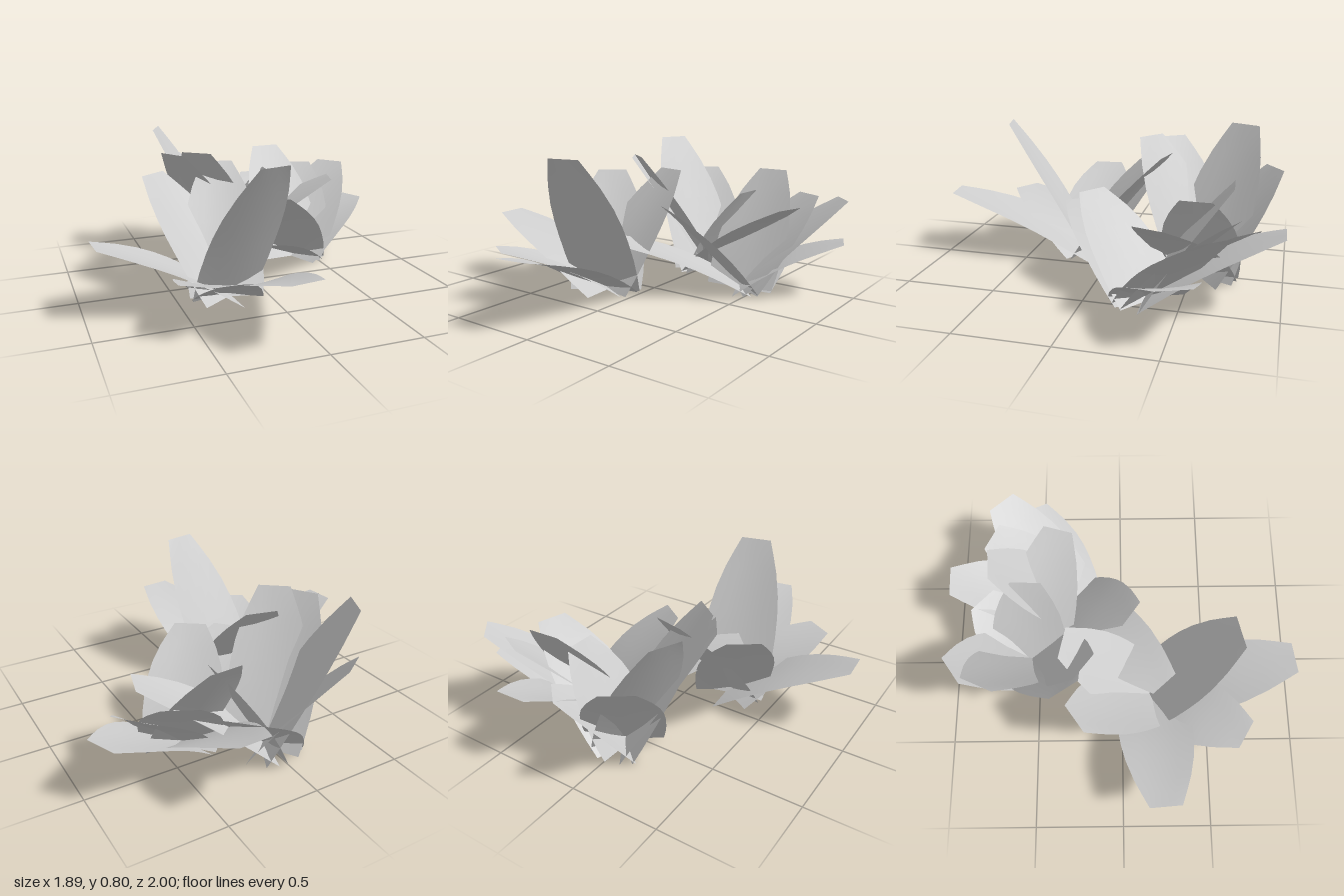
import * as THREE from 'three';

// Leaf outline: [distance along the leaf, full width]
const PROFILE = [[0, 0.405], [0.12, 0.425], [0.25, 0.435], [0.4, 0.43], [0.52, 0.415],
  [0.65, 0.38], [0.8, 0.31], [0.9, 0.245], [1, 0.175]];
const ACROSS = [-1, -0.5, 0, 0.5, 1];

// Plants: centre on the ground [x, z] and the middle of each leaf tip [x, y, z]
const PLANTS = [
  { name: 'frontPlant', centre: [-0.22, 0.17], tips: [
    [-0.115, 0.8, 0.61], [-0.11, 0.36, 0.985], [-0.935, 0.385, 0.225],
    [-0.535, 0.29, 0.69], [-0.515, 0.62, -0.25], [-0.11, 0.65, -0.32]] },
  { name: 'backPlant', centre: [0.01, -0.555], tips: [
    [-0.38, 0.8, -0.73], [-0.24, 0.59, -0.915], [-0.27, 0.73, -0.2], [-0.385, 0.71, -0.3],
    [0.66, 0.48, -0.37], [0.3, 0.52, -0.545], [0.265, 0.36, -0.815]] },
  { name: 'sidePlant', centre: [0.385, -0.32], tips: [
    [0.115, 0.49, 0.055], [-0.245, 0.32, 0.24], [0.36, 0.64, -0.74], [0.365, 0.41, -1],
    [0.83, 0.51, -0.705], [0.91, 0.3, -0.54], [0.6, 0.51, -0.75]] },
];

// Sweeps the outline from base to tip, slightly arched and cupped
function leafGeometry(base, tip) {
  const dir = tip.clone().sub(base);
  const side = new THREE.Vector3(-dir.z, 0, dir.x).normalize();
  const normal = side.clone().cross(dir).normalize();
  if (normal.y < 0) normal.negate();
  const arch = 0.06 * (1 - dir.y / dir.length());
  const pos = [], index = [], n = ACROSS.length;
  PROFILE.forEach(([t, width], i) => {
    const bend = Math.sin(Math.PI * t);
    ACROSS.forEach((u, j) => {
      const p = base.clone().addScaledVector(dir, t)
        .addScaledVector(side, u * width / 2)
        .addScaledVector(normal, bend * (arch + 0.018 * (u * u - 0.5)));
      pos.push(p.x, p.y, p.z);
      if (i && j) {
        const d = i * n + j, c = d - 1, b = d - n, a = b - 1;
        index.push(a, b, d, a, d, c);
      }
    });
  });
  const g = new THREE.BufferGeometry();
  g.setAttribute('position', new THREE.Float32BufferAttribute(pos, 3));
  g.setIndex(index);
  g.computeVertexNormals();
  return g;
}

export function createModel() {
  const model = new THREE.Group();
  const leafGrey = new THREE.MeshStandardMaterial({ color: 0xcccccc, side: THREE.DoubleSide });
  leafGrey.name = 'leafGrey';

  for (const { name, centre: [cx, cz], tips } of PLANTS) {
    const plant = new THREE.Group();
    plant.name = name;
    // Broad-based leaves, each rooted just behind the centre
    tips.forEach(([x, y, z]) => {
      const back = new THREE.Vector3(cx - x, 0, cz - z).normalize().multiplyScalar(0.02);
      const base = new THREE.Vector3(cx, 0, cz).add(back);
      const leaf = new THREE.Mesh(leafGeometry(base, new THREE.Vector3(x, y, z)), leafGrey);
      leaf.name = 'leaf';
      plant.add(leaf);
    });
    model.add(plant);
  }
  return model;
}
